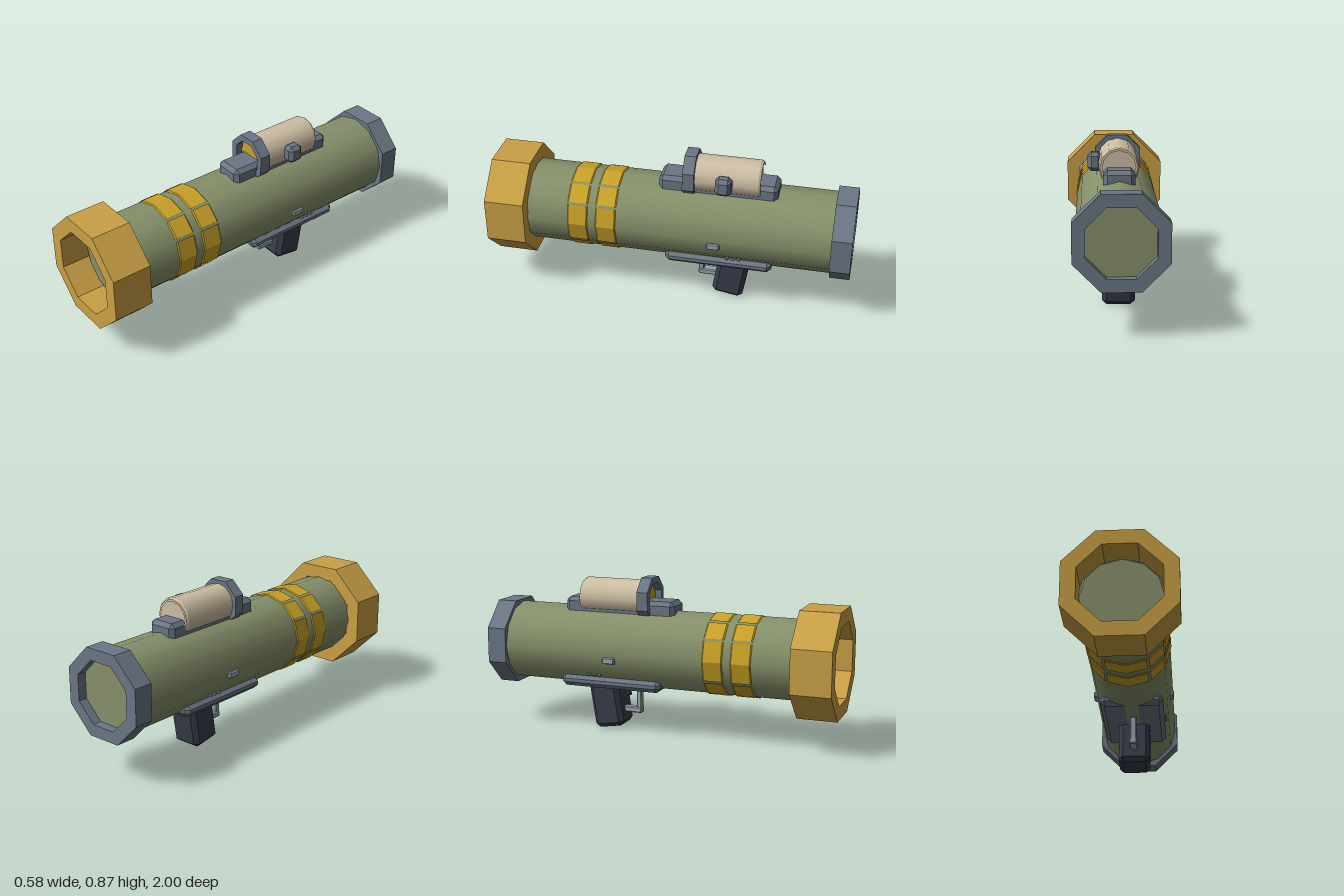
import * as THREE from 'three';
import { ConvexGeometry } from 'three/addons/geometries/ConvexGeometry.js';

const AXIS_Y = 0.473;   // height of the barrel axis
const SCOPE_Y = 0.755;  // height of the scope axis

function material(name, color, extra = {}) {
  const m = new THREE.MeshStandardMaterial({ color, ...extra });
  m.name = name;
  return m;
}

// Box with all edges chamfered by c
function chamferBox(w, h, d, c) {
  const pts = [];
  for (const x of [-1, 1]) for (const y of [-1, 1]) for (const z of [-1, 1]) {
    for (let k = 0; k < 3; k++) {
      pts.push(new THREE.Vector3(
        x * (w / 2 - (k === 0 ? 0 : c)),
        y * (h / 2 - (k === 1 ? 0 : c)),
        z * (d / 2 - (k === 2 ? 0 : c))));
    }
  }
  return new ConvexGeometry(pts);
}

// Flat-topped octagon outline with the given apothem
function octagon(apothem) {
  const r = apothem / Math.cos(Math.PI / 8);
  return Array.from({ length: 8 }, (_, i) => {
    const a = Math.PI / 8 + i * Math.PI / 4;
    return new THREE.Vector2(Math.cos(a) * r, Math.sin(a) * r);
  });
}

function octagonRing(outer, inner, z0, z1) {
  const shape = new THREE.Shape(octagon(outer));
  shape.holes.push(new THREE.Path(octagon(inner).reverse()));
  return new THREE.ExtrudeGeometry(shape, { depth: z1 - z0, bevelEnabled: false }).translate(0, 0, z0);
}

// Twelve-sided cylinder lying along z
function cylinderZ(rFront, rBack, z0, z1, open = false) {
  return new THREE.CylinderGeometry(rFront, rBack, z1 - z0, 12, 1, open)
    .rotateX(Math.PI / 2).translate(0, 0, (z0 + z1) / 2);
}

export function createModel() {
  const olive = material('olive', 0x87916b);
  const brass = material('brass', 0xcaa045);
  const yellow = material('yellow', 0xc9a227, { flatShading: true, side: THREE.DoubleSide });
  const steel = material('steel', 0x6b7685);
  const cream = material('cream', 0xcfbfa5);
  const navy = material('navy', 0x373d4b);
  const silver = material('silver', 0x9ba4b2);

  const model = new THREE.Group();
  function add(name, geometry, mat, x = 0, y = 0, z = 0, rx = 0) {
    const mesh = new THREE.Mesh(geometry, mat);
    mesh.name = name;
    mesh.position.set(x, y, z);
    mesh.rotation.x = rx;
    model.add(mesh);
    return mesh;
  }

  // Barrel with a small bevel at the muzzle
  add('barrel', cylinderZ(0.225, 0.225, -0.95, 0.835), olive, 0, AXIS_Y);
  add('barrelFrontBevel', cylinderZ(0.212, 0.225, 0.835, 0.85), olive, 0, AXIS_Y);

  // End collars
  add('muzzleCollar', octagonRing(0.29, 0.212, 0.78, 1), brass, 0, AXIS_Y);
  add('rearCollar', octagonRing(0.237, 0.172, -1, -0.89), steel, 0, AXIS_Y);

  // Two bands of raised plates: wide ones on the axes, narrow ones between
  const deg = Math.PI / 180;
  for (const [z0, z1] of [[0.28, 0.397], [0.438, 0.555]]) {
    const profile = [[0.222, z0], [0.23, z0 + 0.008], [0.23, z1 - 0.008], [0.222, z1]]
      .map(([r, z]) => new THREE.Vector2(r, z));
    for (let i = 0; i < 4; i++) {
      for (const [mid, half, segments] of [[0, 28.3, 2], [45, 13.3, 1]]) {
        const plate = new THREE.LatheGeometry(profile, segments, (i * 90 + mid - half) * deg, 2 * half * deg);
        add('bandPlate', plate.rotateX(Math.PI / 2), yellow, 0, AXIS_Y);
      }
    }
  }

  // Scope: rail, body with a rear lip, front hood, lens and side knob
  add('scopeRail', chamferBox(0.164, 0.1, 0.65, 0.022), steel, 0, 0.702, -0.256);
  add('scopeBody', cylinderZ(0.105, 0.105, -0.475, -0.11), cream, 0, SCOPE_Y);
  add('scopeRearBevel', cylinderZ(0.105, 0.098, -0.487, -0.475, true), cream, 0, SCOPE_Y);
  const lip = new THREE.RingGeometry(0.086, 0.098, 12, 1, Math.PI / 2).rotateY(Math.PI);
  add('scopeRearLip', lip, cream, 0, SCOPE_Y, -0.487);
  // Inner wall of the rear recess, facing the axis
  const recess = cylinderZ(0.086, 0.086, -0.487, -0.475, true).scale(-1, 1, 1);
  const flipped = recess.index.array;
  for (let i = 0; i < flipped.length; i += 3) [flipped[i], flipped[i + 1]] = [flipped[i + 1], flipped[i]];
  for (let i = 0; i < flipped.length; i += 3) [flipped[i], flipped[i + 2]] = [flipped[i + 2], flipped[i]];
  recess.scale(-1, 1, 1);
  recess.computeVertexNormals();
  add('scopeRearRecess', recess, cream, 0, SCOPE_Y);
  add('scopeHood', octagonRing(0.122, 0.089, -0.132, -0.068), steel, 0, SCOPE_Y);
  add('scopeLens', cylinderZ(0.084, 0.084, -0.115, -0.1), yellow, 0, SCOPE_Y);
  add('scopeKnob', chamferBox(0.075, 0.1, 0.088, 0.02), steel, 0.123, 0.76, -0.294);

  // Mounting plate under the barrel
  add('gripPlate', chamferBox(0.35, 0.068, 0.595, 0.024), steel, 0, 0.292, -0.277);

  // Tilted grip and trigger
  add('grip', chamferBox(0.176, 0.3, 0.175, 0.024), navy, 0, 0.162, -0.343, -0.16);
  add('trigger', chamferBox(0.03, 0.1, 0.024, 0.005), navy, 0, 0.237, -0.244, -0.38);

  // Trigger guard
  add('guardPost', chamferBox(0.036, 0.18, 0.03, 0.005), silver, 0, 0.185, -0.163);
  add('guardBar', chamferBox(0.046, 0.034, 0.115, 0.006), silver, 0, 0.113, -0.204);

  // Side switches and indicator studs
  for (const side of [-1, 1]) {
    add('sideSwitch', chamferBox(0.03, 0.036, 0.072, 0.006), silver, side * 0.216, 0.432, -0.26);
    for (let i = 0; i < 3; i++) {
      add('stud', chamferBox(0.024, 0.014, 0.018, 0.003), silver, side * 0.175, 0.338, -0.333 - i * 0.032);
    }
  }

  return model;
}
